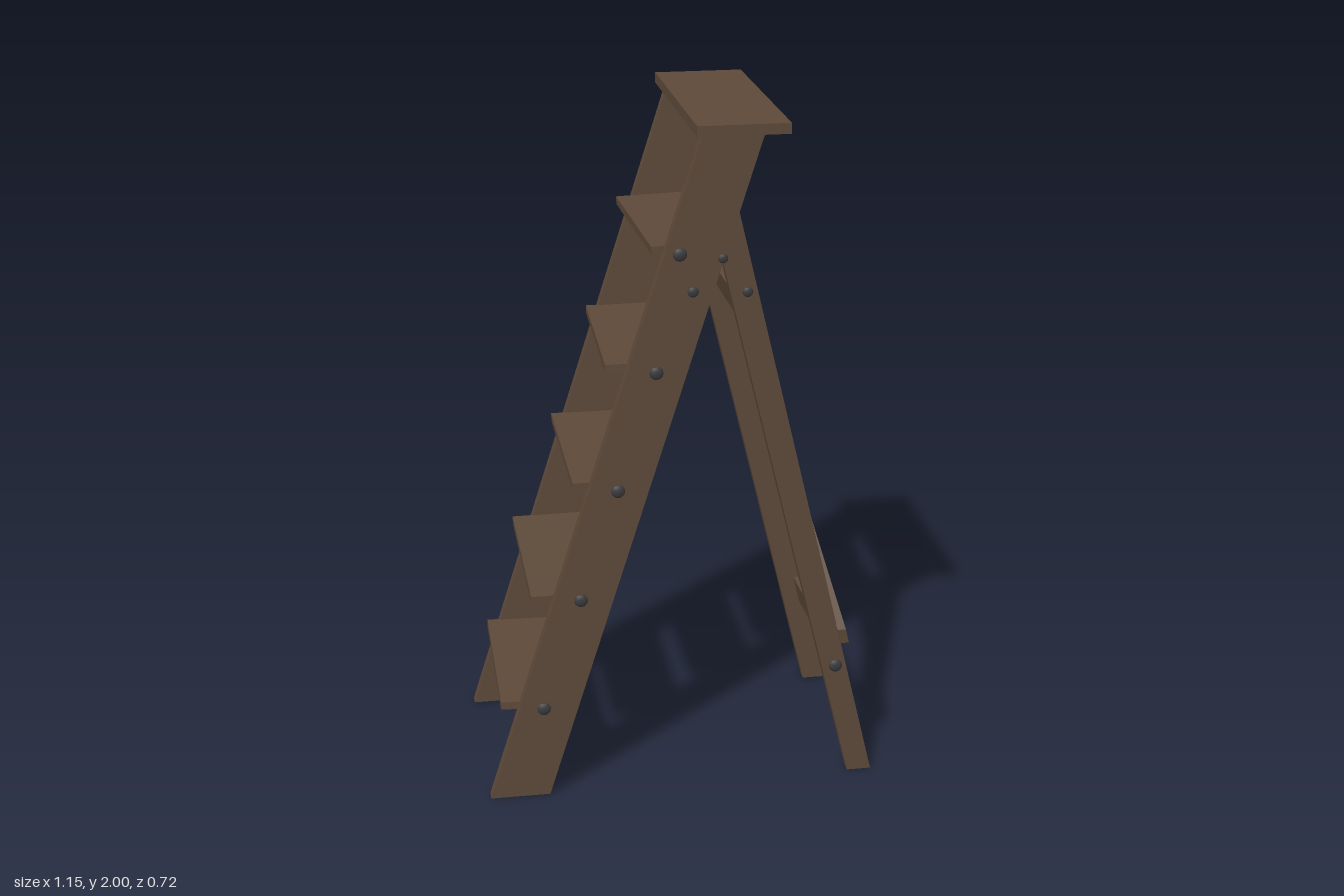
import * as THREE from 'three';

const wood = new THREE.MeshStandardMaterial({ color: 0x5e4a3a });
wood.name = 'dark wood';
const iron = new THREE.MeshStandardMaterial({ color: 0x3b3b3d });
iron.name = 'dark iron';

const INNER = 0.288, OUTER = 0.323; // z range of the side boards

function extrude(points, depth) {
  const shape = new THREE.Shape(points.map(([x, y]) => new THREE.Vector2(x, y)));
  return new THREE.ExtrudeGeometry(shape, { depth, bevelEnabled: false });
}

// Board lying parallel to the slanting rear legs; points are [z, y]
function rearBoard(name, points, depth, offset) {
  const geo = extrude(points.map(([z, y]) => [-z, y]), depth);
  geo.rotateY(Math.PI / 2);
  const p = geo.attributes.position;
  for (let i = 0; i < p.count; i++) {
    p.setX(i, p.getX(i) + 0.57 - 0.2405 * p.getY(i) + offset);
  }
  geo.computeVertexNormals();
  const mesh = new THREE.Mesh(geo, wood);
  mesh.name = name;
  return mesh;
}

export function createModel() {
  const model = new THREE.Group();
  model.name = 'stepladder';
  const add = (name, geo, mat) => {
    const mesh = new THREE.Mesh(geo, mat);
    mesh.name = name;
    model.add(mesh);
    return mesh;
  };

  // Top platform
  add('topPlatform', new THREE.BoxGeometry(0.257, 0.03, 0.716), wood).position.set(0.153, 1.985, 0);

  // Side rails, rear legs and bolts, mirrored across z
  const rail = [[-0.575, 0], [-0.4, 0], [0.218, 1.97], [0.047, 1.97]];
  const leg = [[0.5, 0], [0.572, 0], [0.148, 1.755], [0.105, 1.61]];
  const bolts = [
    [-0.413, 0.283, 0.02], [-0.3, 0.622, 0.02], [-0.19, 0.953, 0.02],
    [-0.08, 1.3, 0.02], [-0.015, 1.638, 0.02], [0.455, 0.354, 0.02],
    [0.022, 1.53, 0.016], [0.175, 1.523, 0.015], [0.105, 1.622, 0.014],
  ];
  for (const side of [1, -1]) {
    const z0 = side > 0 ? INNER : -OUTER;
    add('sideRail', extrude(rail, OUTER - INNER), wood).position.z = z0;
    add('rearLeg', extrude(leg, OUTER - INNER), wood).position.z = z0;
    for (const [x, y, r] of bolts) {
      const dome = new THREE.SphereGeometry(r, 12, 4, 0, Math.PI * 2, 0, Math.PI / 2);
      dome.scale(1, 0.5, 1);
      const bolt = add('bolt', dome, iron);
      bolt.position.set(x, y, side * OUTER);
      bolt.rotation.x = side * Math.PI / 2;
    }
  }

  // Treads, each a little crooked: centre x, centre y, roll, yaw, pitch
  const treads = [
    [-0.422, 0.278, -0.014, -0.016, -0.02],
    [-0.33, 0.622, 0.014, -0.005, 0.01],
    [-0.204, 0.96, 0, -0.008, 0],
    [-0.1, 1.305, -0.014, -0.035, 0.01],
    [0.012, 1.643, -0.014, 0.026, 0.03],
  ];
  for (const [x, y, roll, yaw, pitch] of treads) {
    const tread = add('tread', new THREE.BoxGeometry(0.218, 0.023, 0.58), wood);
    tread.position.set(x, y, 0);
    tread.rotation.set(roll, yaw, pitch);
  }

  // Cross rails between the rear legs, and the diagonal brace behind them
  model.add(
    rearBoard('lowerCrossRail', [[0.29, 0.3], [0.29, 0.385], [-0.29, 0.365], [-0.29, 0.28]], 0.025, -0.022),
    rearBoard('upperCrossRail', [[0.29, 1.387], [0.29, 1.47], [-0.29, 1.462], [-0.29, 1.38]], 0.025, -0.05),
    rearBoard('diagonalBrace',
      [[0.31, 0.42], [0.33, 0.43], [0.333, 0.475], [-0.29, 1.375], [-0.315, 1.4], [-0.317, 1.315]], 0.025, 0),
  );
  return model;
}
